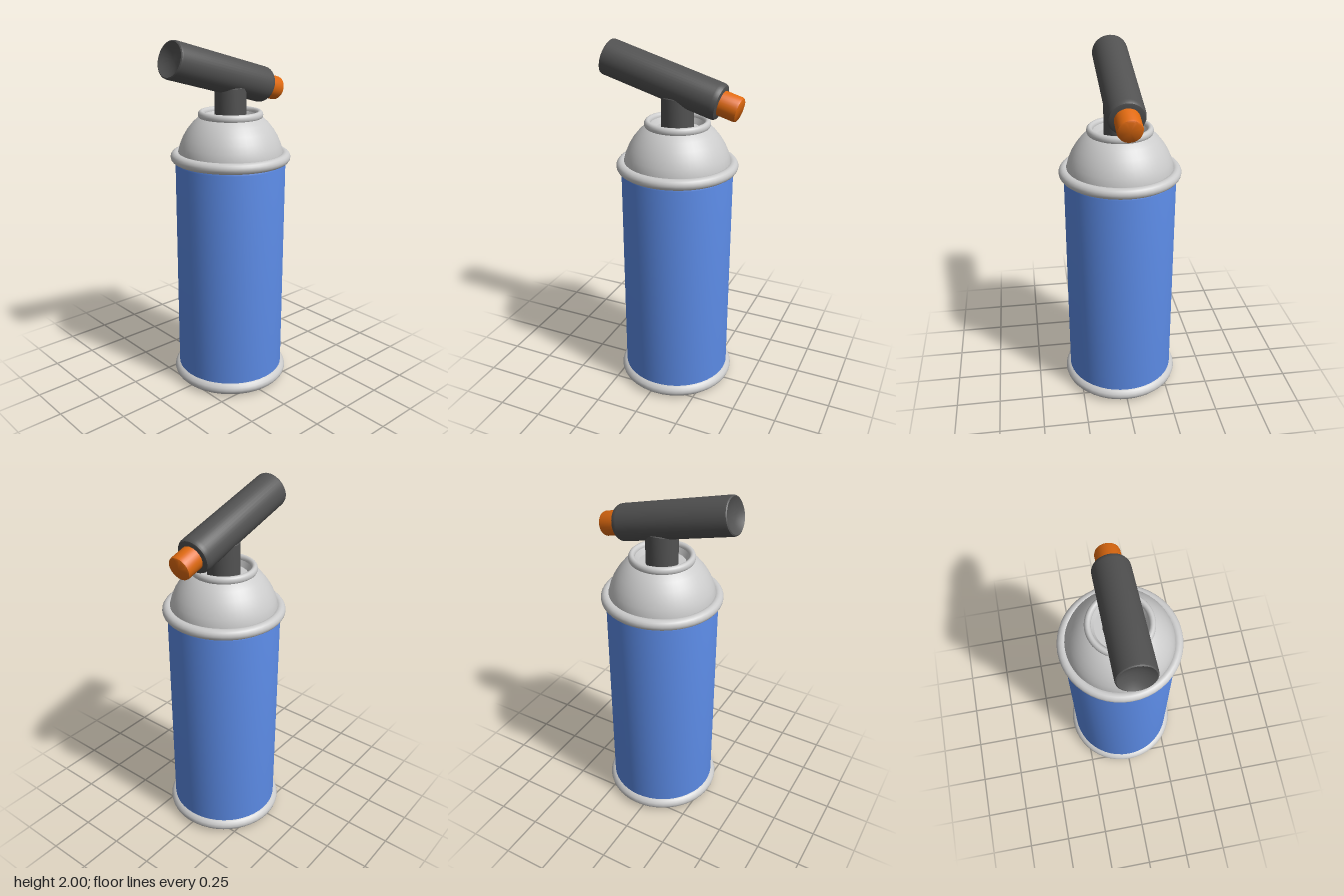
import * as THREE from 'three';
import { toCreasedNormals } from 'three/addons/utils/BufferGeometryUtils.js';

const paint = (color) => new THREE.MeshStandardMaterial({ color });
const grey = paint(0xcccccc);
const blue = paint(0x5b8ae4);
const dark = paint(0x525252);
const orange = paint(0xe06a10);

// Turned part from [radius, height] points, listed bottom to top on the outside
function turned(name, points, material, segments = 48) {
  const profile = points.map(([r, y]) => new THREE.Vector2(r, y));
  const geometry = toCreasedNormals(new THREE.LatheGeometry(profile, segments), 0.6);
  const mesh = new THREE.Mesh(geometry, material);
  mesh.name = name;
  return mesh;
}

// Ring lying flat with an oval section
function ring(name, inner, outer, bottom, top) {
  const tube = (outer - inner) / 2;
  const geometry = new THREE.TorusGeometry((outer + inner) / 2, tube, 16, 48);
  geometry.rotateX(Math.PI / 2);
  geometry.scale(1, (top - bottom) / (2 * tube), 1);
  const mesh = new THREE.Mesh(geometry, grey);
  mesh.name = name;
  mesh.position.y = (top + bottom) / 2;
  return mesh;
}

export function createModel() {
  const model = new THREE.Group();
  model.name = 'sprayCan';

  const can = new THREE.Group();
  can.name = 'can';
  can.position.z = -0.035;
  model.add(can);

  // Body with a hollow domed base
  can.add(turned('body', [
    [0, 0.13], [0.08, 0.125], [0.16, 0.105], [0.23, 0.065], [0.29, 0.04],
    [0.308, 0.06], [0.308, 1.31], [0.304, 1.33], [0.29, 1.345], [0, 1.345],
  ], blue));
  can.add(ring('bottomRim', 0.22, 0.335, 0, 0.083));
  can.add(ring('topRim', 0.275, 0.335, 1.32, 1.38));

  // Shoulder dome, closing into the valve cup
  can.add(turned('shoulder', [
    [0.293, 1.35], [0.292, 1.38], [0.281, 1.42], [0.264, 1.46], [0.24, 1.5],
    [0.208, 1.54], [0.17, 1.573], [0.147, 1.585], [0.13, 1.55], [0, 1.55],
  ], grey));
  can.add(ring('valveRing', 0.145, 0.18, 1.56, 1.605));

  // Stem carrying the nozzle
  can.add(turned('stem', [[0, 1.54], [0.088, 1.54], [0.088, 1.73], [0.06, 1.75], [0, 1.75]], dark, 32));

  // Nozzle: local +y runs along the barrel towards its raised front
  const nozzle = new THREE.Group();
  nozzle.name = 'nozzle';
  nozzle.position.set(0, 1.813, 0.046);
  nozzle.rotation.x = Math.PI / 2 - 0.273;
  nozzle.add(turned('barrel', [
    [0, -0.342], [0.082, -0.342], [0.093, -0.338], [0.099, -0.326], [0.1, -0.31],
    [0.1, 0.328], [0.098, 0.338], [0.092, 0.342],
    [0.07, 0.328], [0.04, 0.317], [0, 0.312],
  ], dark, 40));
  nozzle.add(turned('nozzleCap', [
    [0, -0.448], [0.056, -0.448], [0.064, -0.443], [0.067, -0.433], [0.067, -0.33], [0, -0.33],
  ], orange, 32));
  model.add(nozzle);

  return model;
}
